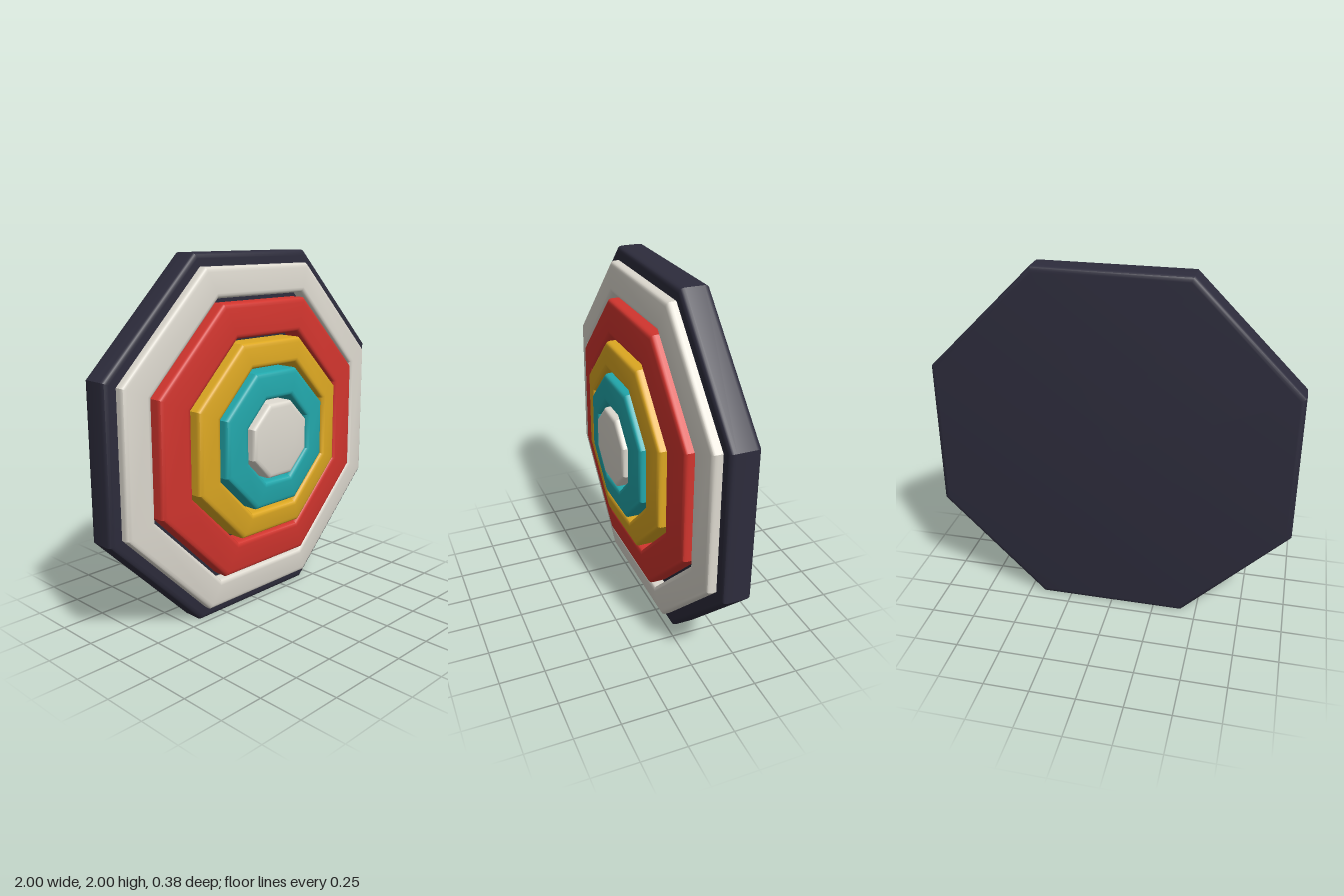
import * as THREE from 'three';
import { toCreasedNormals } from 'three/addons/utils/BufferGeometryUtils.js';

const SIDES = 8;
const BACK = -0.19, PLATE_FRONT = -0.03;

const paint = (name, color) => {
  const m = new THREE.MeshStandardMaterial({ color });
  m.name = name;
  return m;
};

// Quarter-round corner between two profile points, bulging towards the corner
function round(from, corner, to, steps = 4) {
  return new THREE.QuadraticBezierCurve(
    new THREE.Vector2(...from), new THREE.Vector2(...corner), new THREE.Vector2(...to)
  ).getPoints(steps);
}

// Sweep a profile of [apothem, depth] points around the octagon, facing +z
function octagon(name, profile, material) {
  const points = profile.map(p => new THREE.Vector2(p.x / Math.cos(Math.PI / SIDES), p.y));
  const lathe = new THREE.LatheGeometry(points, SIDES, Math.PI / SIDES);
  lathe.rotateX(Math.PI / 2);
  const mesh = new THREE.Mesh(toCreasedNormals(lathe, 0.6), material);
  mesh.name = name;
  mesh.position.y = 1;
  return mesh;
}

export function createModel() {
  const dark = paint('dark slate', 0x2d2c3c);
  const white = paint('warm white', 0xdedad0);
  const red = paint('red', 0xd2352e);
  const yellow = paint('yellow', 0xdda822);
  const teal = paint('teal', 0x22a8ac);

  const model = new THREE.Group();
  model.name = 'octagonalTarget';

  // Backing plate with rounded rim
  const e = 0.03;
  model.add(octagon('backPlate', [
    new THREE.Vector2(0, BACK),
    ...round([1 - e, BACK], [1, BACK], [1, BACK + e]),
    ...round([1, PLATE_FRONT - e], [1, PLATE_FRONT], [1 - e, PLATE_FRONT]),
    new THREE.Vector2(0, PLATE_FRONT),
  ], dark));

  // Raised rings: outer and inner apothem, depth at outer and inner shoulder
  const b = 0.027, base = PLATE_FRONT - 0.01;
  const rings = [
    ['outerRing', 0.93, 0.77, 0.022, 0.042, white],
    ['secondRing', 0.745, 0.56, 0.07, 0.09, red],
    ['thirdRing', 0.535, 0.4, 0.117, 0.135, yellow],
    ['innerRing', 0.375, 0.228, 0.152, 0.167, teal],
  ];
  for (const [name, outer, inner, zo, zi, material] of rings) {
    model.add(octagon(name, [
      new THREE.Vector2(outer, base),
      ...round([outer, zo - b], [outer, zo], [outer - b, zo]),
      ...round([inner + b, zi], [inner, zi], [inner, zi - b]),
      new THREE.Vector2(inner, base),
    ], material));
  }

  // Centre disc
  model.add(octagon('centreDisc', [
    new THREE.Vector2(0.206, base),
    ...round([0.206, 0.157], [0.206, 0.182], [0.18, 0.182]),
    new THREE.Vector2(0.1, 0.19),
    new THREE.Vector2(0, 0.19),
  ], white));

  return model;
}
